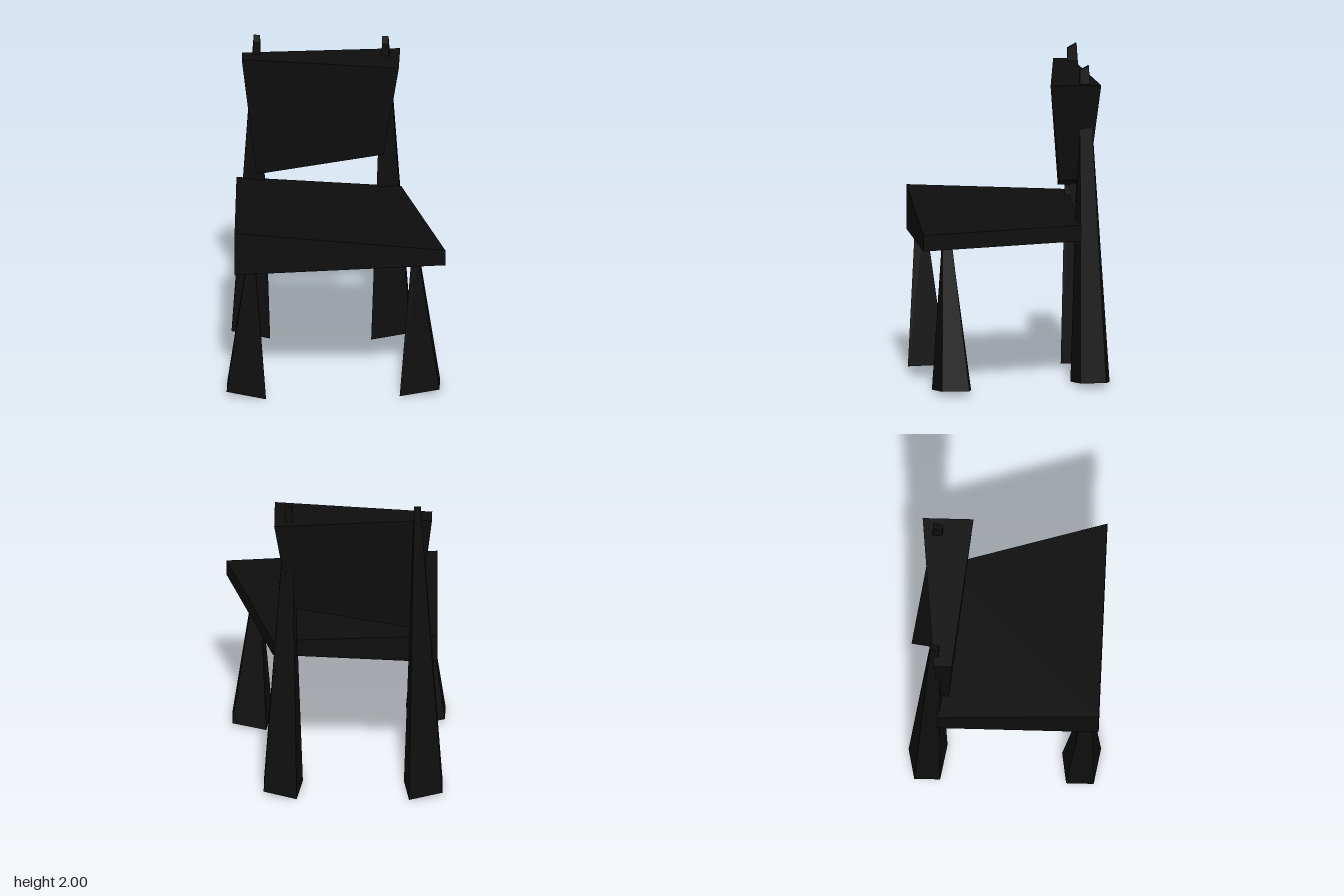
import * as THREE from 'three';

const material = new THREE.MeshStandardMaterial({ color: 0x0d0d0d, flatShading: true });

// Six-sided block from four bottom and four top corners,
// each ordered: front -x, front +x, back +x, back -x.
function block(name, bottom, top) {
  const p = [...bottom, ...top];
  const quads = [[4, 5, 6, 7], [3, 2, 1, 0]];
  for (let i = 0; i < 4; i++) {
    const j = (i + 1) % 4;
    quads.push([i, j, j + 4, i + 4]);
  }
  const positions = quads.flatMap(([a, b, c, d]) => [a, b, c, a, c, d].flatMap(i => p[i]));
  const geometry = new THREE.BufferGeometry();
  geometry.setAttribute('position', new THREE.Float32BufferAttribute(positions, 3));
  geometry.computeVertexNormals();
  const mesh = new THREE.Mesh(geometry, material);
  mesh.name = name;
  return mesh;
}

// Mirror a ring of corners in x while keeping the corner order
const mirror = ring => [1, 0, 3, 2].map(i => [-ring[i][0], ring[i][1], ring[i][2]]);

// Pair of tapered legs, mirrored about x = centre; shift moves the -x leg in z
function legPair(group, name, centre, shift, bottom, top) {
  const left = block(name + 'Left', bottom, top);
  const right = block(name + 'Right', mirror(bottom), mirror(top));
  left.position.x = right.position.x = centre;
  right.position.z = shift;
  group.add(left, right);
}

export function createModel() {
  const chair = new THREE.Group();
  chair.name = 'crookedChair';

  // Wedge-shaped seat, thick on one side and thin on the other
  chair.add(block('seat',
    [[-0.63, 0.83, 0.58], [0.675, 0.92, 0.6], [0.375, 0.915, -0.41], [-0.645, 0.875, -0.42]],
    [[-0.63, 1.11, 0.58], [0.675, 1.02, 0.6], [0.375, 1.015, -0.41], [-0.645, 1.06, -0.42]]));

  // Backrest flaring upwards, with a slanted lower edge
  chair.add(block('backrest',
    [[-0.52, 1.11, -0.35], [0.27, 1.28, -0.285], [0.27, 1.28, -0.465], [-0.52, 1.11, -0.42]],
    [[-0.61, 1.89, -0.33], [0.365, 1.89, -0.22], [0.365, 1.89, -0.535], [-0.61, 1.89, -0.44]]));

  // Tall rear legs running up past the backrest
  legPair(chair, 'rearLeg', -0.1225, 0,
    [[0.3125, 0, -0.36], [0.5525, 0.03, -0.4], [0.5525, 0.03, -0.56], [0.3475, 0, -0.6]],
    [[0.3775, 1.97, -0.41], [0.4175, 1.97, -0.41], [0.4175, 2, -0.465], [0.3775, 2, -0.465]]);

  // Short front legs ending inside the seat
  legPair(chair, 'frontLeg', -0.0225, 0.07,
    [[0.4125, 0, 0.52], [0.6575, 0.03, 0.48], [0.6575, 0.03, 0.31], [0.4475, 0, 0.28]],
    [[0.487, 0.95, 0.465], [0.525, 0.95, 0.465], [0.525, 0.95, 0.408], [0.487, 0.95, 0.408]]);

  return chair;
}
